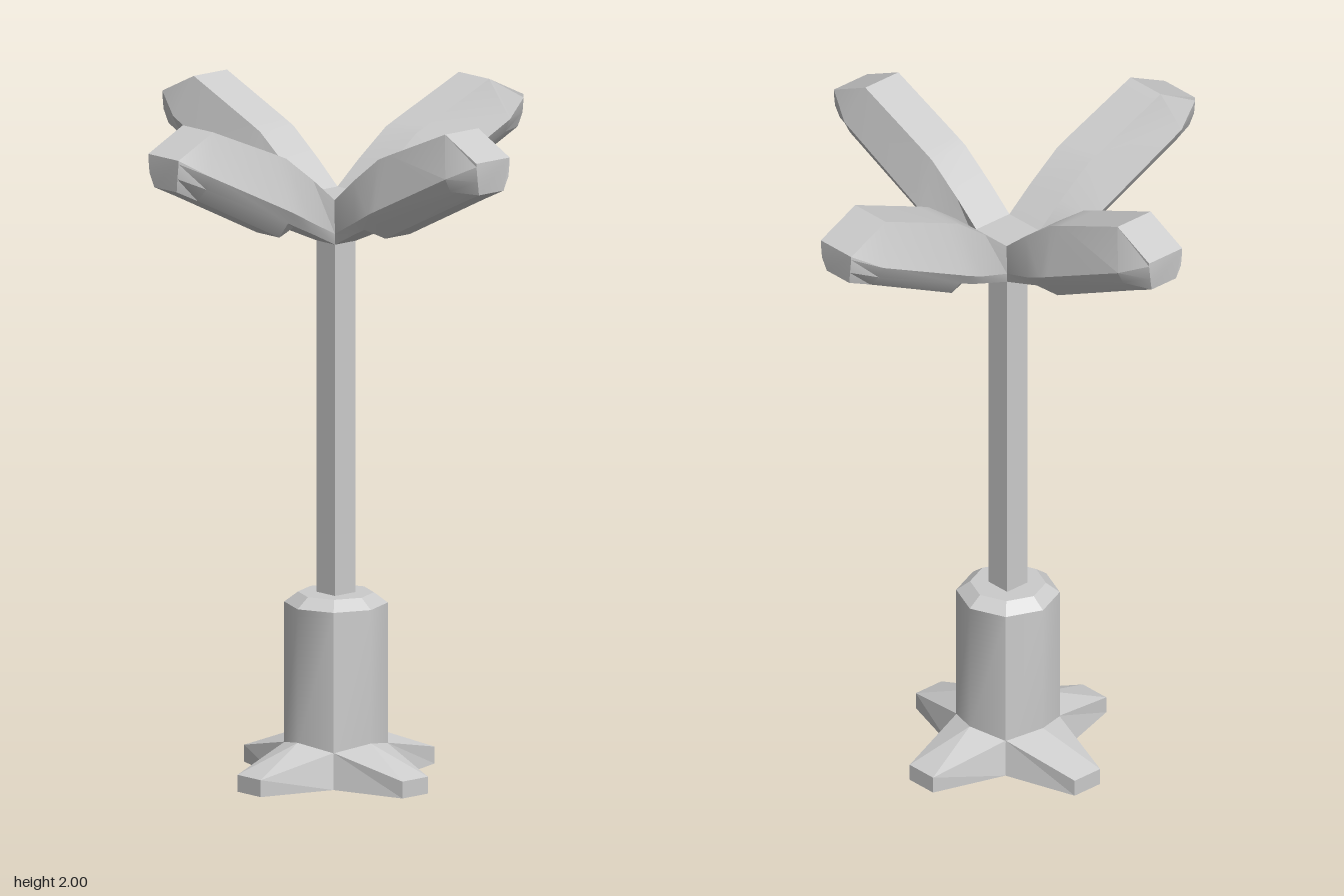
import * as THREE from 'three';
import { toCreasedNormals } from 'three/addons/utils/BufferGeometryUtils.js';

const grey = new THREE.MeshStandardMaterial({ color: 0xcccccc });

// Mesh from corner points and convex polygons, smoothing edges below the crease angle
function polyMesh(name, points, faces, crease) {
  const pos = [];
  for (const f of faces) {
    for (let i = 1; i < f.length - 1; i++) pos.push(...points[f[0]], ...points[f[i]], ...points[f[i + 1]]);
  }
  const geo = new THREE.BufferGeometry();
  geo.setAttribute('position', new THREE.Float32BufferAttribute(pos, 3));
  geo.computeVertexNormals();
  return part(name, toCreasedNormals(geo, crease));
}

function part(name, geo, y = 0) {
  const mesh = new THREE.Mesh(geo, grey);
  mesh.name = name;
  mesh.position.y = y;
  return mesh;
}

// One foot of the star-shaped base, pointing to +z
function makeFoot() {
  const points = [
    [0, 0.125, 0.15], [-0.05, 0.05, 0.34], [0.05, 0.05, 0.34],   // ridge, tip top
    [-0.05, 0, 0.34], [0.05, 0, 0.34],                           // tip bottom
    [-0.105, 0.105, 0.105], [0.105, 0.105, 0.105],               // valley top
    [-0.12, 0, 0.12], [0.12, 0, 0.12], [0, 0, 0],                // valley bottom, centre
  ];
  const faces = [
    [0, 1, 2], [0, 2, 6], [0, 5, 1],
    [2, 4, 8, 6], [5, 7, 3, 1], [1, 3, 4, 2], [9, 8, 4, 3, 7],
  ];
  return polyMesh('foot', points, faces, 0.1);
}

// One lamp arm pointing to +z; each station lists [z, y, half width]
// for the top edge, upper side edge, lower side edge and underside
function makeArm() {
  const stations = [
    [[0.065, 1.73, 0.065], [0.05, 1.625, 0.05], [0.04, 1.59, 0.04], [0.04, 1.59, 0.04]],
    [[0.148, 1.80, 0.065], [0.18, 1.685, 0.09], [0.16, 1.645, 0.07], [0.16, 1.645, 0.048]],
    [[0.254, 1.88, 0.065], [0.25, 1.72, 0.105], [0.21, 1.667, 0.08], [0.21, 1.667, 0.048]],
    [[0.30, 1.90, 0.065], [0.28, 1.735, 0.105], [0.265, 1.693, 0.085], [0.265, 1.645, 0.048]],
    [[0.54, 2.0, 0.065], [0.585, 1.88, 0.105], [0.585, 1.84, 0.085], [0.585, 1.80, 0.048]],
    [[0.675, 1.935, 0.065], [0.675, 1.925, 0.065], [0.675, 1.88, 0.06], [0.667, 1.838, 0.048]],
  ];
  const points = [], faces = [];
  for (const [t, u, l, b] of stations) {
    for (const [p, side] of [[t, 1], [t, -1], [u, -1], [l, -1], [b, -1], [b, 1], [l, 1], [u, 1]]) {
      points.push([p[2] * side, p[1], p[0]]);
    }
  }
  for (let s = 0; s < stations.length - 1; s++) {
    for (let i = 0; i < 8; i++) {
      const j = (i + 1) % 8, a = s * 8, b = a + 8;
      faces.push([a + i, a + j, b + j, b + i]);
    }
  }
  faces.push([0, 1, 2, 3, 4, 5, 6, 7].map(i => i + (stations.length - 1) * 8));
  return polyMesh('lampArm', points, faces, 0.35);
}

// Quarter of the octagonal column, smooth across its middle edge
function makeColumnQuarter() {
  const geo = new THREE.CylinderGeometry(0.15, 0.15, 0.42, 2, 1, true, -Math.PI / 4, Math.PI / 2);
  return part('columnSide', toCreasedNormals(geo, 1), 0.31);
}

export function createModel() {
  const model = new THREE.Group();
  model.name = 'streetLamp';

  // Four identical quarters around the post
  for (let k = 0; k < 4; k++) {
    const quarter = new THREE.Group();
    quarter.name = 'quarter';
    quarter.add(makeFoot(), makeColumnQuarter(), makeArm());
    quarter.rotation.y = k * Math.PI / 2;
    model.add(quarter);
  }

  // Bevelled cap of the column
  const cap = new THREE.CylinderGeometry(0.11, 0.15, 0.03, 8);
  model.add(part('columnCap', toCreasedNormals(cap, 0.3), 0.535));

  // Square post
  model.add(part('post', new THREE.BoxGeometry(0.08, 1.05, 0.08), 1.065));

  // Top of the hub where the arms meet
  const hub = new THREE.PlaneGeometry(0.13, 0.13);
  hub.rotateX(-Math.PI / 2);
  model.add(part('hubTop', hub, 1.73));

  return model;
}
